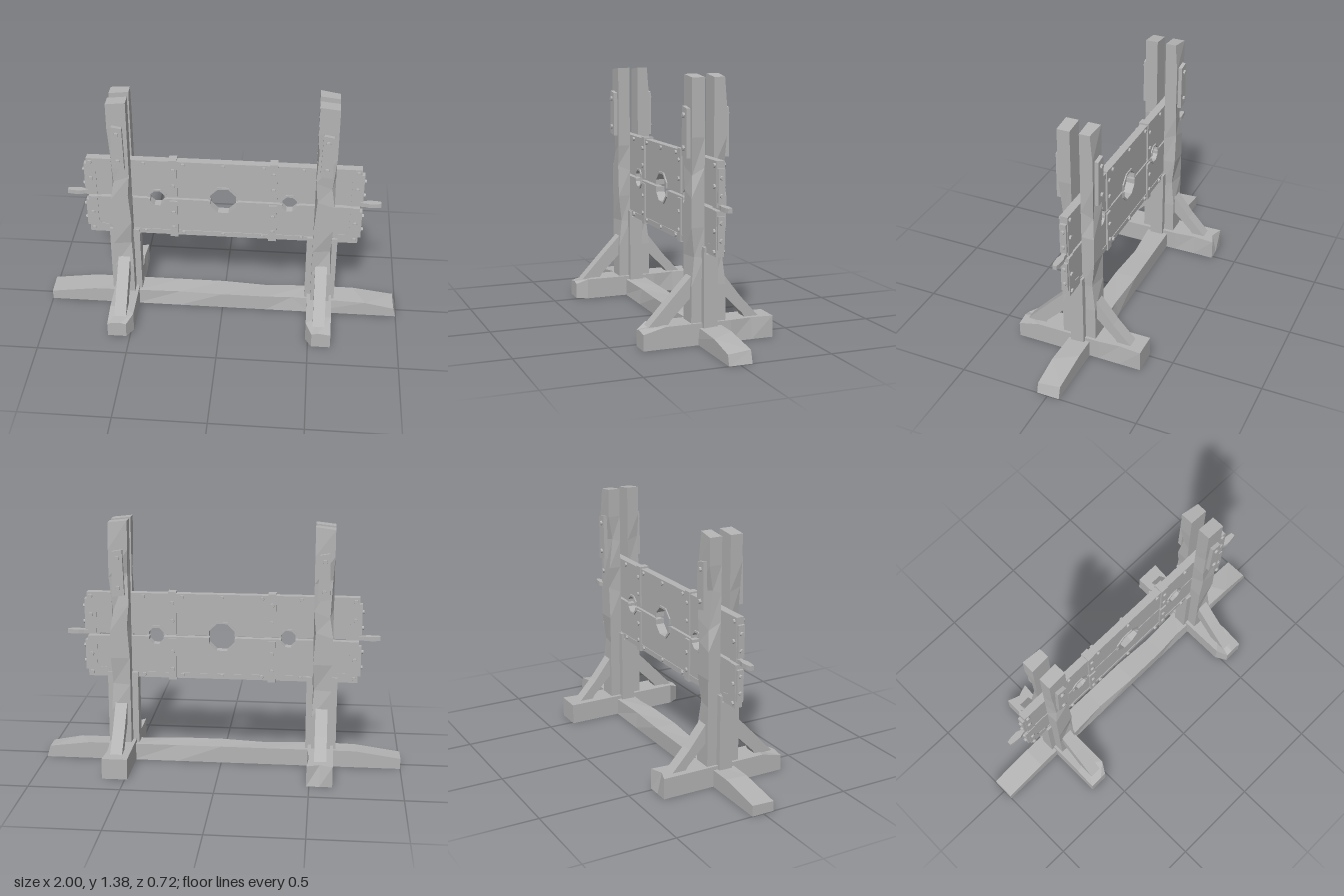
import * as THREE from 'three';

const grey = new THREE.MeshStandardMaterial({ color: 0xb4b4b4 });
grey.name = 'weathered grey';

const GAP = 0.725; // height where the two boards meet

function add(parent, name, geo, x = 0, y = 0, z = 0) {
  const g = geo.index ? geo.toNonIndexed() : geo;
  g.computeVertexNormals();
  const mesh = new THREE.Mesh(g, grey);
  mesh.name = name;
  mesh.position.set(x, y, z);
  parent.add(mesh);
  return mesh;
}

// Timber from min to max corners; each chip [x,y,z, dx,dy,dz] shifts the nearest grid vertex
function timber(min, max, seg, chips = []) {
  const size = max.map((v, i) => v - min[i]);
  const geo = new THREE.BoxGeometry(...size, ...seg);
  geo.translate(...min.map((v, i) => (v + max[i]) / 2));
  const pos = geo.attributes.position;
  const src = pos.clone();
  const p = new THREE.Vector3(), c = new THREE.Vector3();
  for (const [x, y, z, dx, dy, dz] of chips) {
    c.set(x, y, z);
    let best = Infinity;
    for (let i = 0; i < src.count; i++) best = Math.min(best, p.fromBufferAttribute(src, i).distanceTo(c));
    for (let i = 0; i < src.count; i++) {
      if (p.fromBufferAttribute(src, i).distanceTo(c) < best + 1e-4) {
        pos.setXYZ(i, pos.getX(i) + dx, pos.getY(i) + dy, pos.getZ(i) + dz);
      }
    }
  }
  return geo;
}

function plate(points, depth) {
  const shape = new THREE.Shape(points.map(([x, y]) => new THREE.Vector2(x, y)));
  return new THREE.ExtrudeGeometry(shape, { depth, bevelEnabled: false }).translate(0, 0, -depth / 2);
}

// Upper half of an octagon, from angle 0 to 180
function halfOctagon(cx, r, y0) {
  return [0, 22.5, 67.5, 112.5, 157.5, 180].map((d) => {
    const a = THREE.MathUtils.degToRad(d);
    const k = d % 180 === 0 ? r * Math.cos(Math.PI / 8) : r;
    return [cx + k * Math.cos(a), y0 + k * Math.sin(a)];
  });
}

function rivet(parent, x, y, z, axis, r = 0.013, h = 0.012) {
  const geo = new THREE.CylinderGeometry(r * 0.85, r, h, 8);
  if (axis === 'z') geo.rotateX(Math.sign(z) * Math.PI / 2);
  else geo.rotateZ(-Math.sign(x) * Math.PI / 2);
  add(parent, 'rivet', geo, x, y, z);
}

function buildBase(root) {
  // Long ground beam with worn, sloping ends
  add(root, 'groundBeam', timber([-1, 0, -0.065], [1, 0.095, 0.06], [8, 1, 1], [
    [-1, 0.095, 0.06, 0, -0.04, 0], [-1, 0.095, -0.065, 0, -0.035, 0],
    [-0.75, 0.095, 0.06, 0, -0.005, 0],
    [1, 0.095, 0.06, -0.015, -0.04, 0], [1, 0.095, -0.065, -0.02, -0.03, 0],
    [0.75, 0.095, 0.06, 0.07, -0.008, 0],
    [-0.25, 0.095, 0.06, 0, -0.006, -0.014], [0.5, 0.095, 0.06, -0.1, -0.003, -0.012],
    [0.25, 0.095, -0.065, 0, -0.004, 0.012],
  ]));
  for (const s of [-1, 1]) {
    const x = s * 0.555;
    // Cross foot with chipped corners
    add(root, 'crossFoot', timber([x - 0.07, 0, -0.36], [x + 0.07, 0.115, 0.36], [2, 1, 6], [
      [x - s * 0.07, 0.115, 0.36, s * 0.035, -0.03, 0], [x - s * 0.07, 0, 0.36, s * 0.035, 0, 0],
      [x - s * 0.07, 0.115, 0.24, 0, 0, 0.06], [x - s * 0.07, 0, 0.24, 0, 0, 0.06],
      [x + s * 0.07, 0.115, 0.36, 0, -0.03, 0], [x, 0.115, 0.36, 0, -0.02, 0],
      [x, 0.115, -0.36, 0, 0, s < 0 ? 0.025 : 0],
      [x + 0.07, 0.115, -0.24, -0.01, 0, 0],
    ]));
    // Foot of the upright pair: core block and two cheeks that cradle the boards
    add(root, 'uprightCore', timber([x - 0.085, 0.02, -0.038], [x + 0.085, 0.475, 0.038], [1, 1, 1]));
    for (const f of [-1, 1]) {
      add(root, 'cheek', timber([x - 0.085, 0.47, f * 0.0315 - 0.0065], [x + 0.085, 0.51, f * 0.0315 + 0.0065], [1, 1, 1]));
    }
  }
}

function buildUprights(root) {
  for (const s of [-1, 1]) for (const f of [-1, 1]) {
    const x = s * 0.557, top = s < 0 ? 1.35 : 1.37, z0 = f > 0 ? 0.025 : -0.095;
    const out = f * 0.095, L = x - 0.053, R = x + 0.053;
    // Post with nicked edges and a slightly tilted top
    add(root, 'post', timber([L, 0, z0], [R, top, z0 + 0.07], [1, 9, 1], [
      [L, top, out, 0, -s * -0.006, 0], [L, top, f * 0.025, 0, -s * -0.006, 0],
      [R, top, out, 0, -s * 0.006, f < 0 ? 0.012 : 0], [R, top, f * 0.025, 0, -s * 0.006, 0],
      [s < 0 ? L : R, 0.9, out, -s * 0.018, -0.04, -f * 0.01],
      [s < 0 ? R : L, 0.75, out, -s * -0.012, 0.03, 0],
      [R, 0.45, out, -0.008, 0, -f * 0.018],
      [L, 1.06, out, 0.008, 0.02, f < 0 ? 0.025 : -0.004],
    ]));
    // Riveted wear plate
    const w = 0.034;
    const strap = plate([[-w, 0.97], [w, 0.96], [w - 0.004, 1.21], [-w + 0.008, 1.22]], 0.022);
    add(root, 'postPlate', strap, x, 0, f * 0.105);
    for (const y of [1.01, 1.175]) rivet(root, x, y, f * 0.12, 'z', 0.014, 0.014);
    // Diagonal brace
    const reach = f > 0 ? 0.32 : 0.295;
    const profile = [[0.085, 0.36], [0.085, 0.25], [0.2, 0.135], [0.215, 0.11], [reach, 0.11], [0.19, f > 0 ? 0.25 : 0.225]];
    const brace = plate(profile, 0.066);
    const mesh = add(root, 'brace', brace, x, 0, 0);
    mesh.rotation.y = -f * Math.PI / 2;
  }
}

// One half of the stocks, drawn upward from y = 0; flipped for the lower half
function buildBoard(name) {
  const half = new THREE.Group();
  half.name = name;
  const H = 0.238, X = 0.75, g = 0.006;
  const holes = [[-0.365, 0.05], [0, 0.083], [0.365, 0.05]];
  // Plank with three half-octagon cutouts
  const outline = [[X - 0.01, H - 0.004], [-X + 0.01, H - 0.004], [-X + 0.01, g]];
  for (const [cx, r] of holes) outline.push(...halfOctagon(cx, r, g - 0.003).reverse());
  outline.push([X - 0.01, g]);
  add(half, 'plank', plate(outline, 0.036));
  // Iron rims around the cutouts
  for (const [cx, r] of holes) {
    const rim = [...halfOctagon(cx, r + 0.005, g - 0.003), ...halfOctagon(cx, r - 0.007, g - 0.003).reverse()];
    add(half, 'holeRim', plate(rim, 0.05));
  }
  // Edge binding along the outer edge and both ends, with chamfered inner corners
  const e = X - 0.05, t = H - 0.03;
  add(half, 'edgeBinding', plate([
    [X, g], [X, H], [-X, H], [-X, g], [-e, g], [-e, t - 0.045], [-e + 0.015, t - 0.025],
    [-e + 0.06, t - 0.02], [-e + 0.075, t],
    [e - 0.075, t], [e - 0.06, t - 0.02], [e - 0.015, t - 0.025], [e, t - 0.045], [e, g],
  ], 0.044));
  for (const s of [-1, 1]) {
    // Wrapped strap
    add(half, 'strap', timber([s * 0.275 - 0.022, 0.012, -0.028], [s * 0.275 + 0.022, H + 0.01, 0.028], [1, 1, 1]));
    // End plate with rivets
    add(half, 'endPlate', timber([s * 0.757 - 0.008, 0.03, -0.018], [s * 0.757 + 0.008, 0.2, 0.018], [1, 1, 1]));
    for (const y of [0.065, 0.155]) rivet(half, s * 0.77, y, 0, 'x', 0.012, 0.012);
    for (const f of [-1, 1]) {
      for (const y of [0.085, 0.185]) rivet(half, s * 0.275, y, f * 0.031, 'z');
      for (const y of [0.11, 0.215]) rivet(half, s * 0.73, y, f * 0.026, 'z');
      for (const px of [0.22, 0.435]) rivet(half, s * px, 0.22, f * 0.026, 'z', 0.012);
    }
  }
  for (const f of [-1, 1]) rivet(half, 0, 0.22, f * 0.026, 'z', 0.012);
  return half;
}

function buildHandles(root) {
  for (const s of [-1, 1]) {
    // Flat grip that flares, then narrows to the tip
    const grip = plate([
      [0.68, -0.011], [0.775, -0.011], [0.8, -0.019], [0.84, -0.016], [0.866, -0.011],
      [0.866, 0.011], [0.84, 0.016], [0.8, 0.019], [0.775, 0.011], [0.68, 0.011],
    ], 0.024);
    grip.rotateX(Math.PI / 2);
    if (s < 0) grip.rotateY(Math.PI);
    add(root, 'handle', grip, 0, 0.733, 0);
  }
}

export function createModel() {
  const root = new THREE.Group();
  root.name = 'pillory';
  buildBase(root);
  buildUprights(root);
  const upper = buildBoard('upperBoard');
  upper.position.y = GAP;
  const lower = buildBoard('lowerBoard');
  lower.rotation.z = Math.PI;
  lower.position.y = GAP - 0.006;
  root.add(upper, lower);
  buildHandles(root);
  return root;
}
